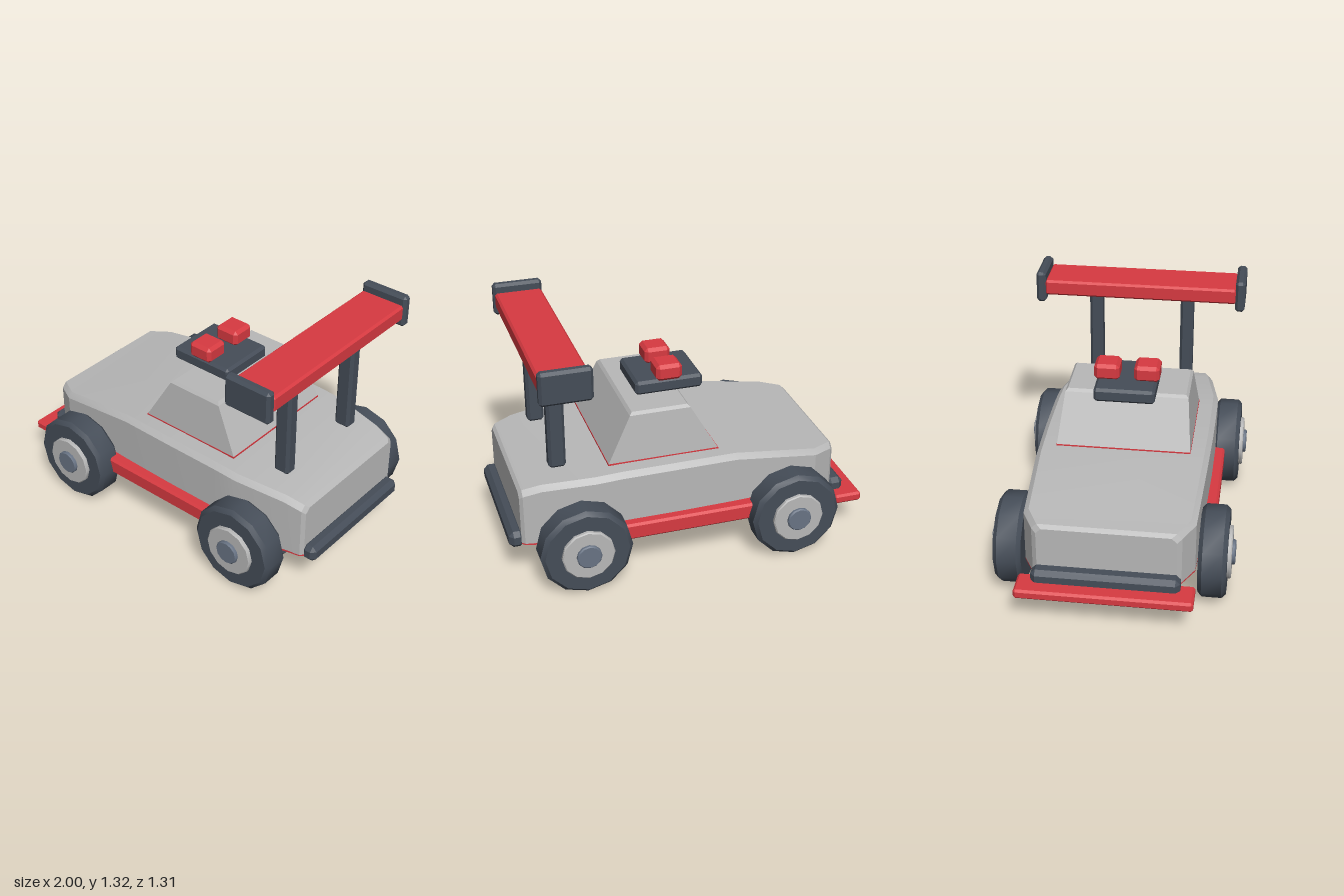
import * as THREE from 'three';
import { toCreasedNormals } from 'three/addons/utils/BufferGeometryUtils.js';
import { ConvexGeometry } from 'three/addons/geometries/ConvexGeometry.js';

const material = (name, color) => {
  const m = new THREE.MeshStandardMaterial({ color });
  m.name = name;
  return m;
};

// Box with chamfered edges, given by its extents on each axis
function chamferBox([x0, x1], [y0, y1], [z0, z1], c = 0.015) {
  const h = [(x1 - x0) / 2, (y1 - y0) / 2, (z1 - z0) / 2];
  const points = [];
  for (const sx of [-1, 1]) for (const sy of [-1, 1]) for (const sz of [-1, 1]) {
    for (let full = 0; full < 3; full++) {
      const d = h.map((v, i) => (i === full ? v : v - c));
      points.push(new THREE.Vector3(sx * d[0], sy * d[1], sz * d[2]));
    }
  }
  return new ConvexGeometry(points).translate((x0 + x1) / 2, (y0 + y1) / 2, (z0 + z1) / 2);
}

// Skin through rings of [x, y, z] points, closed at both ends
function loft(rings, crease = 0.35) {
  const n = rings[0].length;
  const index = [];
  for (let r = 0; r < rings.length - 1; r++) {
    for (let i = 0; i < n; i++) {
      const a = r * n + i, b = r * n + ((i + 1) % n);
      index.push(a, b, b + n, a, b + n, a + n);
    }
  }
  const last = (rings.length - 1) * n;
  for (let i = 1; i < n - 1; i++) {
    index.push(0, i + 1, i);
    index.push(last, last + i, last + i + 1);
  }
  const g = new THREE.BufferGeometry();
  g.setAttribute('position', new THREE.Float32BufferAttribute(rings.flat(2), 3));
  g.setIndex(index);
  return toCreasedNormals(g, crease);
}

// Twelve-sided chamfered disc with its axis along z
function disc(radius, depth, c) {
  const h = depth / 2;
  const profile = [[0, -h], [radius - c, -h], [radius, -h + c], [radius, h - c], [radius - c, h], [0, h]]
    .map(([x, y]) => new THREE.Vector2(x, y));
  return toCreasedNormals(new THREE.LatheGeometry(profile, 12).rotateX(Math.PI / 2), 0.6);
}

export function createModel() {
  const grey = material('light grey', 0xb8b8b8);
  const dark = material('dark slate', 0x454d58);
  const red = material('red', 0xd83a41);
  const steel = material('steel blue', 0x687384);

  const car = new THREE.Group();
  car.name = 'raceCar';
  const add = (name, geometry, mat, parent = car) => {
    const mesh = new THREE.Mesh(geometry, mat);
    mesh.name = name;
    parent.add(mesh);
    return mesh;
  };

  // Body stations, nose to tail: x, half width, top height
  const stations = [
    [-0.845, 0.365, 0.515], [-0.825, 0.39, 0.533], [-0.71, 0.452, 0.544],
    [-0.24, 0.473, 0.61], [0.08, 0.48, 0.612], [0.4, 0.48, 0.61],
    [0.54, 0.477, 0.602], [0.82, 0.425, 0.577], [0.918, 0.403, 0.55], [0.935, 0.385, 0.532],
  ];
  const bevel = 0.028;
  add('body', loft(stations.map(([x, w, t]) => [
    [x, 0.232, w], [x, 0.232, -w], [x, t - bevel, -w],
    [x, t, -w + bevel], [x, t, w - bevel], [x, t - bevel, w],
  ])), grey);

  // Red floor under the body, following its outline
  add('floor', loft(stations.map(([x, w]) => [
    [x, 0.224, w], [x, 0.224, -w], [x, 0.234, -w], [x, 0.234, w],
  ])), red);
  add('undertray', chamferBox([-0.8, 0.8], [0.135, 0.226], [-0.38, 0.38]), dark);

  // Cabin with its red seam
  const cabinRing = (y, x0, x1, w) => [[x0, y, w], [x1, y, w], [x1, y, -w], [x0, y, -w]];
  const cabinPoints = [
    cabinRing(0.617, -0.165, 0.445, 0.37),
    cabinRing(0.872, -0.017, 0.317, 0.342),
    cabinRing(0.888, -0.003, 0.303, 0.328),
  ].flat().map((p) => new THREE.Vector3(...p));
  add('cabin', new ConvexGeometry(cabinPoints), grey);
  add('cabinSeam', new THREE.BoxGeometry(0.614, 0.009, 0.744).translate(0.14, 0.6135, 0), red);

  // Roof light bar
  add('lightBar', chamferBox([-0.145, 0.232], [0.887, 0.965], [-0.167, 0.167]), dark);

  // Bumpers and front splitter
  add('frontBumper', chamferBox([-0.92, -0.825], [0.2, 0.295], [-0.39, 0.39], 0.025), dark);
  add('rearBumper', chamferBox([0.915, 1], [0.2, 0.295], [-0.39, 0.39], 0.025), dark);
  add('splitter', chamferBox([-1, -0.84], [0.175, 0.23], [-0.465, 0.465], 0.012), red);

  // Rear wing
  add('wing', chamferBox([0.572, 0.835], [1.18, 1.27], [-0.555, 0.555], 0.012), red);

  // Parts repeated on both sides
  const tyre = disc(0.25, 0.15, 0.022);
  const rim = disc(0.143, 0.04, 0.006);
  const hub = disc(0.068, 0.04, 0.006);
  for (const s of [1, -1]) {
    const side = s > 0 ? 'Left' : 'Right';
    const z = (a, b) => (s > 0 ? [a, b] : [-b, -a]);
    add('roofLamp' + side, chamferBox([-0.027, 0.117], [0.958, 1.05], z(0.04, 0.18), 0.018), red);
    add('wingPost' + side, chamferBox([0.657, 0.75], [0.605, 1.185], z(0.23, 0.306)), dark);
    add('wingEndPlate' + side, chamferBox([0.567, 0.843], [1.135, 1.317], z(0.55, 0.605)), dark);
    add('sideSill' + side, chamferBox([-0.35, 0.44], [0.23, 0.325], z(0.44, 0.535), 0.012), red);

    for (const [end, x] of [['front', -0.545], ['rear', 0.63]]) {
      const wheel = new THREE.Group();
      wheel.name = end + 'Wheel' + side;
      wheel.position.set(x, 0.25, s * 0.541);
      add('tyre', tyre, dark, wheel);
      add('rim', rim, grey, wheel).position.z = s * 0.076;
      add('hub', hub, steel, wheel).position.z = s * 0.094;
      car.add(wheel);
    }
  }
  return car;
}
